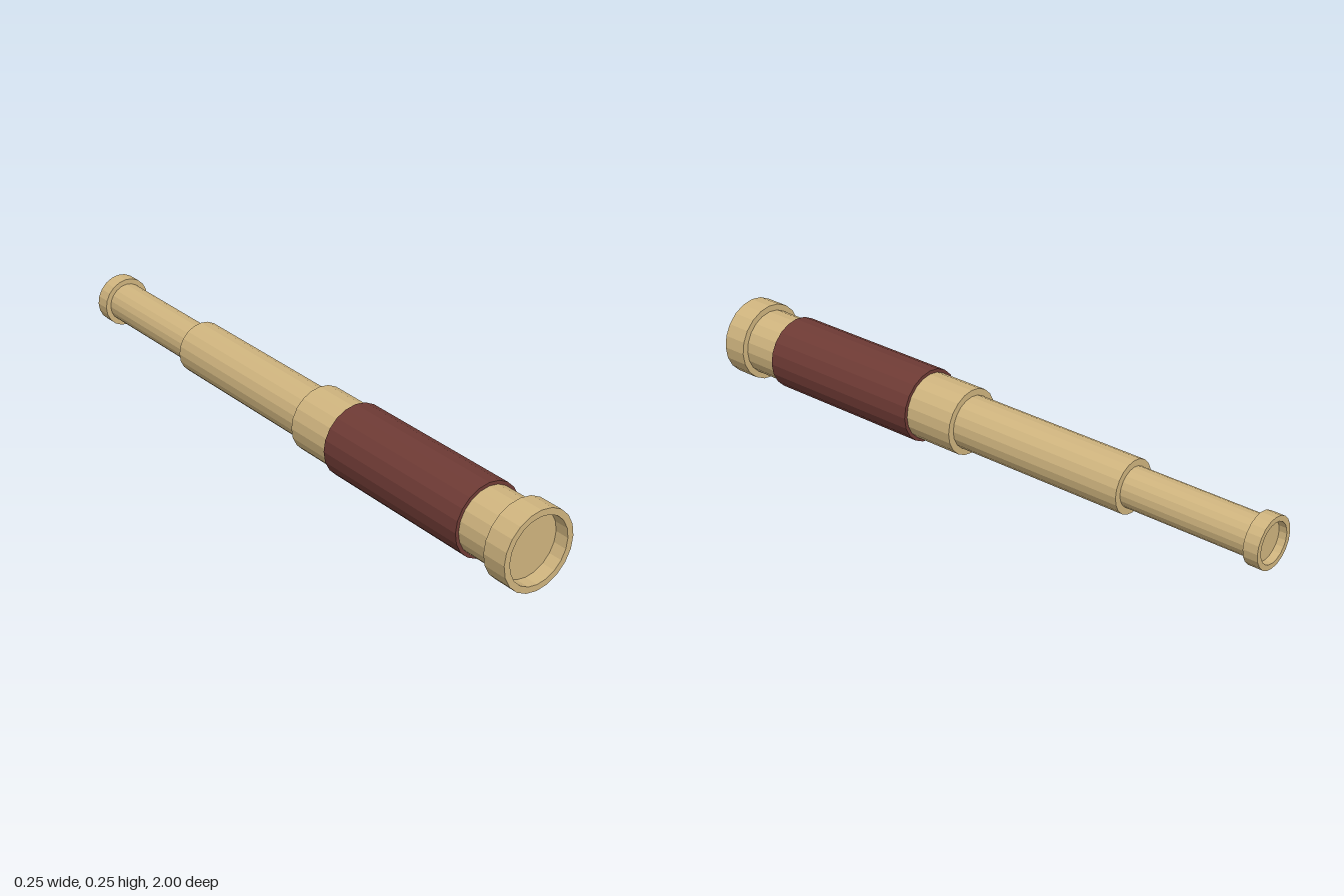
import * as THREE from 'three';

const SIDES = 20;
const AXIS_Y = 0.125;

export function createModel() {
  const model = new THREE.Group();
  model.name = 'spyglass';

  const brass = new THREE.MeshStandardMaterial({ color: 0xd0b57f, flatShading: true });
  const leather = new THREE.MeshStandardMaterial({ color: 0x6f3b35, flatShading: true });

  // Turn a [radius, z] profile around the long axis
  function turned(name, material, profile) {
    const points = profile.map(([r, z]) => new THREE.Vector2(r, z));
    const geometry = new THREE.LatheGeometry(points, SIDES);
    geometry.rotateX(Math.PI / 2);
    const mesh = new THREE.Mesh(geometry, material);
    mesh.name = name;
    mesh.position.y = AXIS_Y;
    model.add(mesh);
  }

  const tube = (name, material, r, z0, z1) =>
    turned(name, material, [[0, z0], [r, z0], [r, z1], [0, z1]]);

  const ring = (name, material, outer, inner, z0, z1) =>
    turned(name, material, [[inner, z0], [outer, z0], [outer, z1], [inner, z1], [inner, z0]]);

  // Telescoping tubes; the outer two ends sit recessed inside their rims as lenses
  tube('mainBarrel', brass, 0.105, 0.07, 0.955);
  tube('middleTube', brass, 0.084, -0.53, 0.07);
  tube('eyeTube', brass, 0.063, -0.975, -0.53);

  // Wrapped grip around the main barrel
  ring('grip', leather, 0.116, 0.105, 0.235, 0.8);

  // End rims
  ring('objectiveRim', brass, 0.125, 0.105, 0.92, 1);
  ring('eyepieceRim', brass, 0.08, 0.063, -1, -0.953);

  return model;
}
